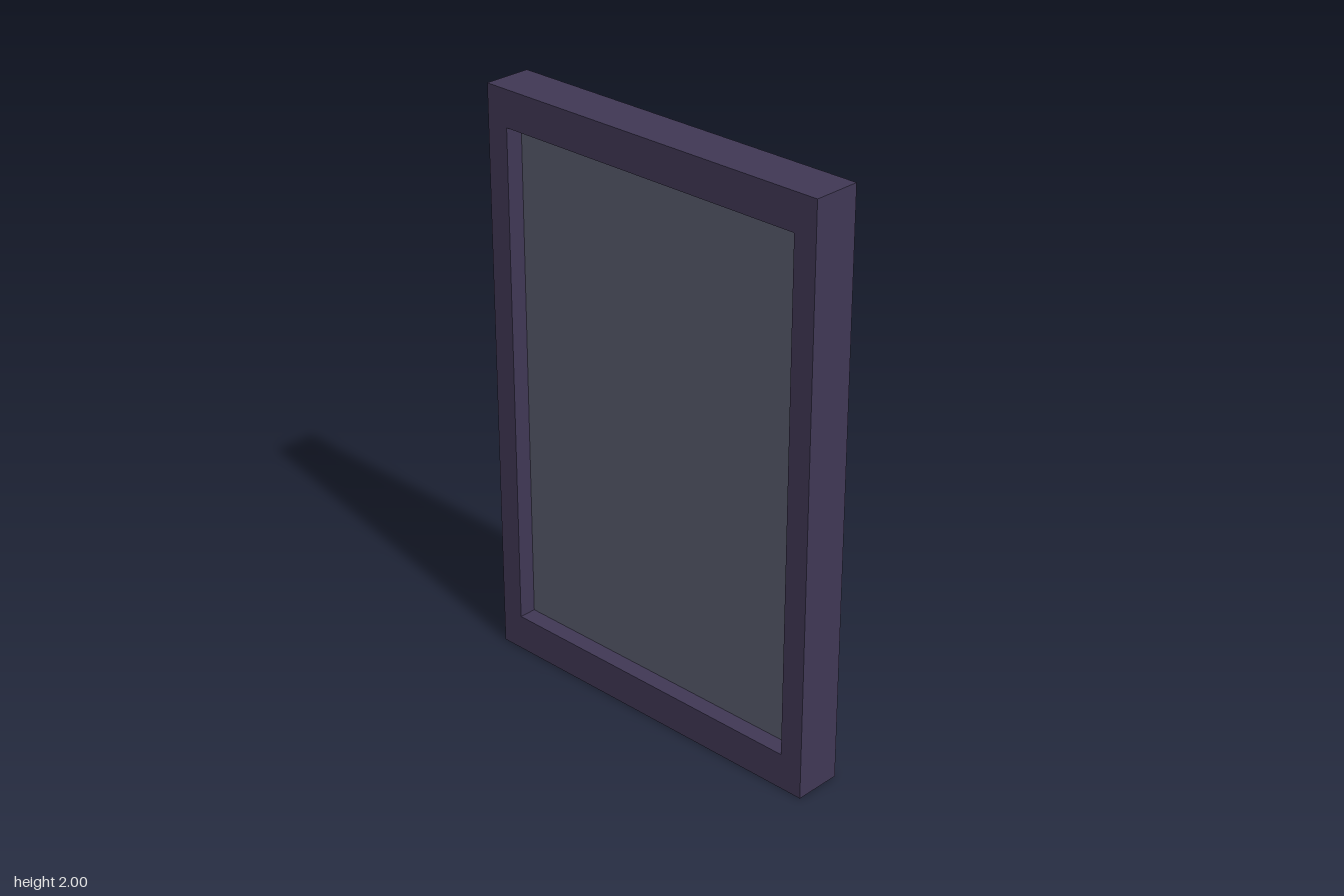
import * as THREE from 'three';

const HEIGHT = 2, WIDTH = 1.333, DEPTH = 0.166;
const OPEN_W = 1.17, OPEN_H = 1.75, PANE_DEPTH = 0.044;

// Corners of a rectangle centred on the origin
function corners(w, h) {
  return [[-1, -1], [1, -1], [1, 1], [-1, 1]].map(
    ([x, y]) => new THREE.Vector2((x * w) / 2, (y * h) / 2)
  );
}

export function createModel() {
  const model = new THREE.Group();
  model.name = 'window';

  // Frame: a rectangle with a rectangular opening, facing sideways along x
  const outline = new THREE.Shape(corners(WIDTH, HEIGHT));
  outline.holes.push(new THREE.Path(corners(OPEN_W, OPEN_H).reverse()));
  const frameGeometry = new THREE.ExtrudeGeometry(outline, { depth: DEPTH, bevelEnabled: false });
  frameGeometry.translate(0, 0, -DEPTH / 2);
  frameGeometry.rotateY(Math.PI / 2);
  const frame = new THREE.Mesh(frameGeometry, new THREE.MeshStandardMaterial({ color: 0x403855 }));
  frame.name = 'frame';

  // Pane: a thin slab recessed equally on both sides
  const pane = new THREE.Mesh(
    new THREE.BoxGeometry(PANE_DEPTH, OPEN_H, OPEN_W),
    new THREE.MeshStandardMaterial({ color: 0x585a6c })
  );
  pane.name = 'pane';

  for (const part of [frame, pane]) {
    part.position.y = HEIGHT / 2;
    model.add(part);
  }
  return model;
}
